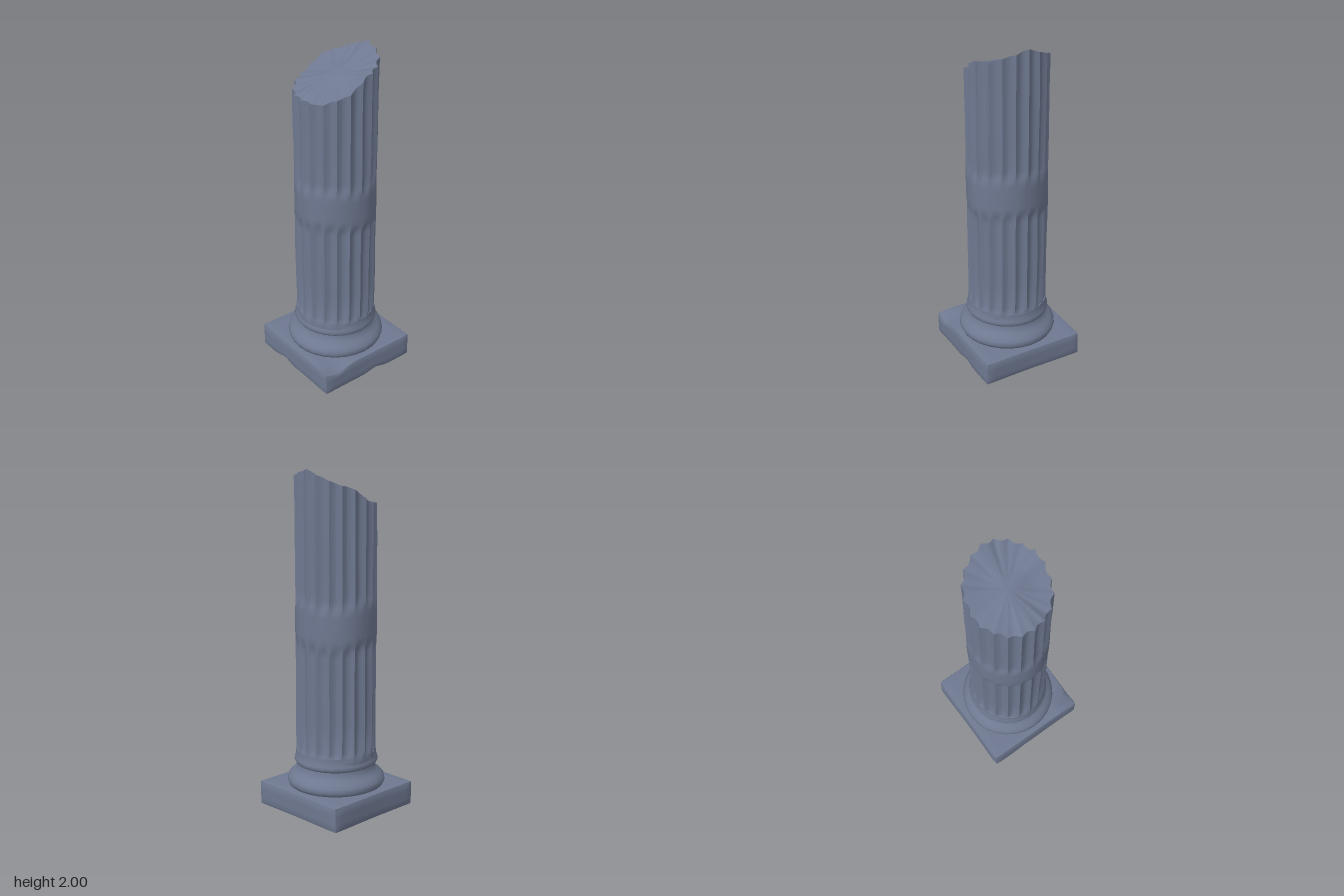
import * as THREE from 'three';
import { toCreasedNormals } from 'three/addons/utils/BufferGeometryUtils.js';

const TAU = Math.PI * 2;
const FLUTES = 20;
const SEGMENTS = FLUTES * 8;

// Smooth, repeatable wear, roughly -1..1
const wear = (x, y, z) =>
  (Math.sin(x * 17 + y * 5 + 1) + Math.sin(z * 19 - y * 7 + x * 6 + 2) + Math.sin(y * 13 + z * 9 - x * 11)) / 3;

// Move every vertex by a rule, then restore crisp edges
function reshape(geometry, rule, crease) {
  const pos = geometry.attributes.position;
  const p = new THREE.Vector3();
  for (let i = 0; i < pos.count; i++) {
    p.fromBufferAttribute(pos, i);
    rule(p);
    pos.setXYZ(i, p.x, p.y, p.z);
  }
  geometry.computeVertexNormals();
  return toCreasedNormals(geometry, crease);
}

// Height of the broken rim every 30 degrees, from the front towards +x
const RIM = [1.775, 1.78, 1.82, 1.9, 1.94, 1.965, 2.0, 1.95, 1.92, 1.85, 1.81, 1.785];
function rimHeight(angle) {
  const t = (((angle / TAU) % 1 + 1) % 1) * RIM.length;
  const i = Math.floor(t + 1e-6) % RIM.length;
  const f = Math.max(0, t - Math.floor(t + 1e-6));
  const base = THREE.MathUtils.lerp(RIM[i], RIM[(i + 1) % RIM.length], f);
  return base - 0.008 * (1 - Math.cos(angle * 7)) * Math.abs(Math.sin(angle));
}

// Shaft radius: two fluted drums with a plain band between them
function shaftRadius(angle, y) {
  const step = THREE.MathUtils.smoothstep;
  const k = Math.round(angle / TAU * FLUTES - 0.5);
  const shift = 0.015 * Math.sin(k * TAU / FLUTES * 3);
  const lower = step(y, 0.35, 0.39) * (1 - step(y, 0.98 + shift, 1.04 + shift));
  const upper = step(y, 1.21 + shift, 1.27 + shift);
  const groove = Math.abs(Math.sin(angle * FLUTES / 2));
  return 0.235 - 0.017 * groove * Math.max(lower, upper)
    + 0.003 * wear(Math.sin(angle) * 0.4, y, Math.cos(angle) * 0.4);
}

const ROWS = [0.32, 0.35, 0.37, 0.39, 0.55, 0.75, 0.95, 0.98, 1.01, 1.04, 1.07, 1.18, 1.21, 1.24, 1.27, 1.3, 1.45, 1.6, 1.74];

function shaftGeometry() {
  const g = new THREE.CylinderGeometry(1, 1, 1, SEGMENTS, ROWS.length, true);
  return reshape(g, (p) => {
    const a = Math.atan2(p.x, p.z);
    const row = Math.round((p.y + 0.5) * ROWS.length);
    const y = row < ROWS.length ? ROWS[row] : rimHeight(a);
    const r = shaftRadius(a, y);
    p.set(Math.sin(a) * r, y, Math.cos(a) * r);
  }, 0.8);
}

// Sloping broken face that meets the rim of the shaft
function breakGeometry() {
  const g = new THREE.RingGeometry(0, 1, SEGMENTS, 8).rotateX(-Math.PI / 2);
  return reshape(g, (p) => {
    const t = Math.min(1, Math.hypot(p.x, p.z));
    const a = Math.atan2(p.x, p.z);
    const rim = rimHeight(a);
    const r = shaftRadius(a, rim) * t;
    p.x = Math.sin(a) * r;
    p.z = Math.cos(a) * r;
    const bumps = 0.016 * wear(p.x * 1.3, 0, p.z * 1.3) * (1 - t * t);
    p.y = THREE.MathUtils.lerp(1.865, rim, Math.pow(t, 1.15)) + bumps;
  }, 0.9);
}

// Moulded base: wide torus, neck and collar
function baseGeometry() {
  const profile = [
    [0.262, 0.14], [0.282, 0.152], [0.291, 0.172], [0.285, 0.195], [0.265, 0.215],
    [0.245, 0.232], [0.229, 0.255], [0.226, 0.276], [0.241, 0.283], [0.247, 0.296],
    [0.243, 0.312], [0.237, 0.325], [0.235, 0.36], [0.21, 0.362],
  ].map(([r, y]) => new THREE.Vector2(r, y));
  return reshape(new THREE.LatheGeometry(profile, 28), (p) => {
    const k = 1 + 0.01 * wear(p.x, p.y, p.z);
    p.x *= k;
    p.z *= k;
  }, 0.75);
}

// Square slab with worn edges and a few chips
function plinthGeometry() {
  const w = 0.645, h = 0.15;
  const g = new THREE.BoxGeometry(w, h, w, 20, 6, 20);
  return reshape(g, (p) => {
    const onX = Math.abs(p.x) > w / 2 - 0.001;
    const onY = Math.abs(p.y) > h / 2 - 0.001;
    const onZ = Math.abs(p.z) > w / 2 - 0.001;
    const { x, y, z } = p;
    // Round the edges
    if (onX + onY + onZ > 1) {
      if (onX) p.x -= Math.sign(x) * 0.007;
      if (onY) p.y -= Math.sign(y) * 0.005;
      if (onZ) p.z -= Math.sign(z) * 0.007;
    }
    p.x += 0.004 * wear(x * 0.6, y, z * 0.6);
    p.z += 0.004 * wear(z * 0.6, y, x * 0.6);
    // Notches along the lower edges of front and sides
    const low = y < 0 ? -y / (h / 2) : 0;
    const notch = (d) => Math.max(0, 1 - d / 0.08);
    p.y += 0.025 * low * notch(Math.hypot(x + 0.1, z - w / 2));
    p.y += 0.02 * low * notch(Math.hypot(x - w / 2, z + 0.06));
    // Chipped front corner on the upper face
    const chip = Math.max(0, 1 - Math.hypot(x - 0.32, z - 0.23) / 0.12);
    if (y > 0) p.y -= 0.03 * chip * (y / (h / 2));
    p.y += h / 2;
  }, 0.7);
}

export function createModel() {
  const group = new THREE.Group();
  group.name = 'brokenColumn';
  const stone = new THREE.MeshStandardMaterial({ color: 0x6e7890 });
  stone.name = 'blueGreyStone';

  const parts = {
    plinth: plinthGeometry(),
    mouldedBase: baseGeometry(),
    flutedShaft: shaftGeometry(),
    brokenTop: breakGeometry(),
  };
  for (const [name, geometry] of Object.entries(parts)) {
    const mesh = new THREE.Mesh(geometry, stone);
    mesh.name = name;
    group.add(mesh);
  }
  return group;
}
